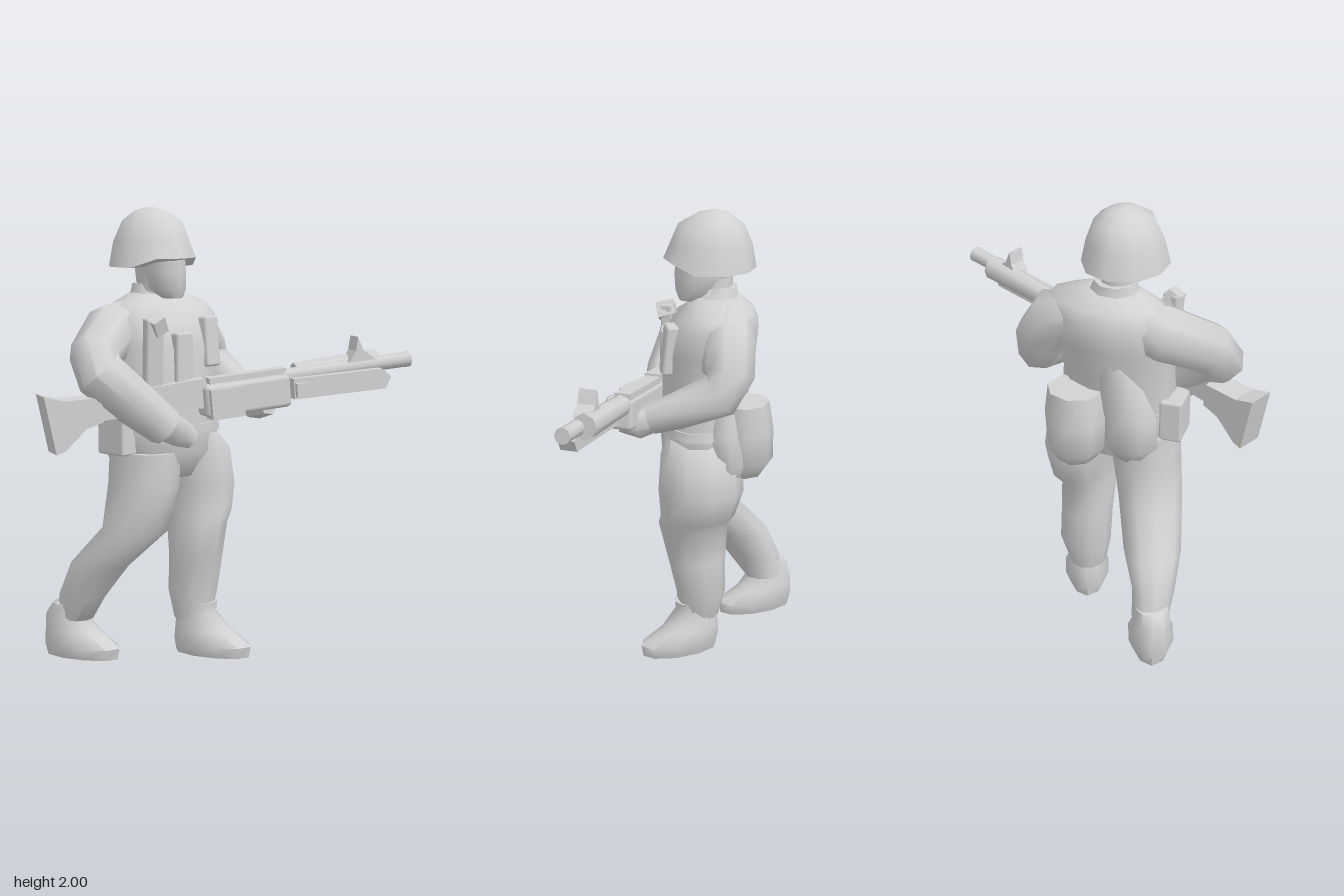
import * as THREE from 'three';
import { toCreasedNormals } from 'three/addons/utils/BufferGeometryUtils.js';
import { RoundedBoxGeometry } from 'three/addons/geometries/RoundedBoxGeometry.js';

const grey = new THREE.MeshStandardMaterial({ color: 0xd2d2d2 });
grey.name = 'plain grey';

function add(parent, name, geometry, pos = [0, 0, 0], rot = [0, 0, 0]) {
  const mesh = new THREE.Mesh(geometry, grey);
  mesh.name = name;
  mesh.position.set(...pos);
  mesh.rotation.set(...rot);
  parent.add(mesh);
  return mesh;
}

// Skin a list of closed rings of points and cap both ends
function skin(rings, crease = 1.1) {
  const n = rings[0].length, pos = [], index = [];
  rings.forEach((r) => r.forEach((p) => pos.push(p.x, p.y, p.z)));
  for (let i = 0; i < rings.length - 1; i++) {
    for (let j = 0; j < n; j++) {
      const a = i * n + j, b = i * n + (j + 1) % n;
      index.push(a, b, b + n, a, b + n, a + n);
    }
  }
  [0, rings.length - 1].forEach((i) => {
    const c = new THREE.Vector3();
    rings[i].forEach((p) => c.addScaledVector(p, 1 / n));
    const k = pos.length / 3;
    pos.push(c.x, c.y, c.z);
    for (let j = 0; j < n; j++) {
      const a = i * n + j, b = i * n + (j + 1) % n;
      index.push(...(i === 0 ? [k, b, a] : [k, a, b]));
    }
  });
  const g = new THREE.BufferGeometry();
  g.setAttribute('position', new THREE.Float32BufferAttribute(pos, 3));
  g.setIndex(index);
  return toCreasedNormals(g, crease);
}

function ring(c, u, v, ru, rv, n) {
  return Array.from({ length: n }, (_, j) => {
    const a = ((j + 0.5) / n) * Math.PI * 2;
    return c.clone().addScaledVector(u, Math.cos(a) * ru).addScaledVector(v, Math.sin(a) * rv);
  });
}

// Level cross-sections, bottom to top: [x, y, z, half width, half depth]
function stack(sections, yaw = 0, n = 10) {
  const u = new THREE.Vector3(Math.cos(yaw), 0, -Math.sin(yaw));
  const v = new THREE.Vector3(-Math.sin(yaw), 0, -Math.cos(yaw));
  return skin(sections.map(([x, y, z, rx, rz]) => ring(new THREE.Vector3(x, y, z), u, v, rx, rz, n)));
}

// Cross-sections square to a bent path: [x, y, z, radius]
function limb(points, n = 8) {
  const p = points.map((q) => new THREE.Vector3(q[0], q[1], q[2]));
  let u = new THREE.Vector3(0, 0.3, 1);
  return skin(p.map((c, i) => {
    const t = p[Math.min(i + 1, p.length - 1)].clone().sub(p[Math.max(i - 1, 0)]).normalize();
    u = u.clone().addScaledVector(t, -u.dot(t)).normalize();
    return ring(c, u, t.clone().cross(u), points[i][3], points[i][3], n);
  }));
}

// Side outline extruded across the rifle, centred on w
function plate(outline, width, w = 0) {
  const shape = new THREE.Shape(outline.map((p) => new THREE.Vector2(...p)));
  return new THREE.ExtrudeGeometry(shape, { depth: width, bevelEnabled: false }).translate(0, 0, w - width / 2);
}

function makeHead() {
  const g = new THREE.Group();
  g.name = 'head';
  add(g, 'neck', stack([[-0.15, 1.52, -0.13, 0.09, 0.09], [-0.16, 1.6, -0.12, 0.075, 0.08], [-0.17, 1.75, -0.11, 0.085, 0.1]]));
  add(g, 'face', stack([[-0.15, 1.61, -0.02, 0.045, 0.05], [-0.155, 1.65, -0.05, 0.078, 0.095],
    [-0.16, 1.72, -0.075, 0.09, 0.125], [-0.17, 1.84, -0.09, 0.1, 0.13]]));
  // Helmet: the brim is raised at the front
  const helmet = stack([[-0.19, 1.745, -0.105, 0.185, 0.205], [-0.19, 1.85, -0.11, 0.162, 0.182],
    [-0.185, 1.94, -0.11, 0.125, 0.145], [-0.185, 1.985, -0.12, 0.065, 0.075], [-0.185, 2, -0.12, 0.015, 0.015]], 0, 10);
  const p = helmet.attributes.position;
  for (let i = 0; i < p.count; i++) {
    if (p.getY(i) < 1.76 && p.getZ(i) > 0) p.setY(i, 1.785);
  }
  add(g, 'helmet', toCreasedNormals(helmet, 1.1));
  add(g, 'collar', stack([[-0.15, 1.56, -0.13, 0.15, 0.13], [-0.155, 1.61, -0.135, 0.115, 0.105], [-0.16, 1.67, -0.145, 0.09, 0.085]], 0, 8));
  return g;
}

function makeBody() {
  const g = new THREE.Group();
  g.name = 'body';
  add(g, 'torso', stack([[-0.15, 0.83, -0.07, 0.17, 0.12], [-0.14, 0.94, -0.06, 0.26, 0.17], [-0.15, 1.05, -0.06, 0.26, 0.18],
    [-0.15, 1.2, -0.07, 0.25, 0.18], [-0.14, 1.4, -0.105, 0.27, 0.21], [-0.13, 1.52, -0.13, 0.29, 0.195],
    [-0.12, 1.58, -0.15, 0.25, 0.15], [-0.15, 1.63, -0.14, 0.11, 0.1]], 0, 12));
  add(g, 'belt', stack([[-0.145, 1.03, -0.06, 0.268, 0.188], [-0.15, 1.07, -0.06, 0.266, 0.188]], 0, 12));
  add(g, 'leftArm', limb([[-0.02, 1.52, -0.19, 0.1], [0.09, 1.48, -0.185, 0.12], [0.165, 1.36, -0.185, 0.115],
    [0.19, 1.28, -0.15, 0.1], [0.175, 1.2, 0.04, 0.08], [0.16, 1.16, 0.15, 0.068]]));
  add(g, 'rightArm', limb([[-0.24, 1.51, -0.17, 0.1], [-0.38, 1.47, -0.15, 0.125], [-0.56, 1.38, -0.04, 0.11],
    [-0.575, 1.31, 0.02, 0.11], [-0.44, 1.18, 0.085, 0.1], [-0.3, 1.07, 0.115, 0.085]]));
  add(g, 'leftHand', limb([[0.16, 1.17, 0.12, 0.06], [0.15, 1.14, 0.2, 0.07], [0.15, 1.15, 0.28, 0.05]], 6));
  add(g, 'rightHand', limb([[-0.32, 1.09, 0.115, 0.075], [-0.24, 1.05, 0.125, 0.07], [-0.17, 1.01, 0.13, 0.045]], 6));
  return g;
}

function makeLegs() {
  const g = new THREE.Group();
  g.name = 'legs';
  add(g, 'leftLeg', stack([[0.0, 0.16, -0.06, 0.08, 0.09], [0.01, 0.28, -0.07, 0.115, 0.11], [0.01, 0.45, -0.05, 0.115, 0.13],
    [0.005, 0.61, -0.035, 0.12, 0.155], [0.03, 0.66, -0.055, 0.14, 0.165], [0.03, 0.78, -0.07, 0.16, 0.19],
    [0.01, 0.94, -0.07, 0.16, 0.18], [-0.04, 1.03, -0.06, 0.12, 0.15]]));
  add(g, 'rightLeg', stack([[-0.43, 0.17, -0.37, 0.08, 0.09], [-0.425, 0.28, -0.32, 0.09, 0.12], [-0.385, 0.43, -0.24, 0.125, 0.14],
    [-0.31, 0.6, -0.085, 0.14, 0.155], [-0.28, 0.8, -0.06, 0.15, 0.17], [-0.27, 0.95, -0.06, 0.15, 0.17]]));
  // Boots, toes turned a little outward
  [['leftBoot', 0.01, -0.06], ['rightBoot', -0.455, -0.415]].forEach(([name, x, z]) => {
    add(g, name, stack([[x + 0.035, 0, z + 0.085, 0.085, 0.18], [x + 0.035, 0.05, z + 0.085, 0.105, 0.19],
      [x + 0.02, 0.11, z + 0.04, 0.09, 0.14], [x, 0.19, z + 0.015, 0.08, 0.095], [x + 0.01, 0.24, z + 0.03, 0.075, 0.08]], 0.42));
  });
  return g;
}

function makeGear() {
  const g = new THREE.Group();
  g.name = 'gear';
  add(g, 'buttPack', stack([[-0.03, 0.84, -0.25, 0.08, 0.09], [-0.03, 0.91, -0.27, 0.13, 0.12],
    [-0.025, 1.05, -0.26, 0.14, 0.13], [-0.02, 1.18, -0.26, 0.12, 0.11]], -0.28, 8));
  add(g, 'backCanteen', stack([[-0.26, 0.84, -0.16, 0.08, 0.06], [-0.26, 0.92, -0.18, 0.12, 0.1],
    [-0.25, 1.06, -0.18, 0.12, 0.1], [-0.22, 1.2, -0.2, 0.1, 0.08], [-0.19, 1.36, -0.24, 0.06, 0.05]], 0.3, 8));
  add(g, 'leftCanteen', stack([[0.05, 0.86, -0.19, 0.06, 0.06], [0.06, 0.91, -0.19, 0.075, 0.08],
    [0.05, 1.06, -0.18, 0.075, 0.08], [0.04, 1.16, -0.18, 0.06, 0.06]], 0.6, 8));
  // Pouches: [name, size, position, rotation]
  [['rightHipPouch', [0.1, 0.19, 0.16], [-0.41, 1.04, -0.07], [0, 0.1, 0]],
    ['rightChestPouch', [0.08, 0.32, 0.06], [-0.33, 1.38, 0.07], [0.1, -0.3, 0.05]],
    ['middleChestPouch', [0.09, 0.3, 0.05], [-0.185, 1.32, 0.09], [0, 0, 0]],
    ['leftChestPouch', [0.09, 0.22, 0.06], [-0.02, 1.42, 0.07], [-0.1, 0.2, 0]],
  ].forEach(([name, s, pos, rot]) => add(g, name, new RoundedBoxGeometry(...s, 1, 0.012), pos, rot));
  add(g, 'chestFlap', new THREE.BoxGeometry(0.06, 0.07, 0.08), [-0.33, 1.51, 0.09], [0.25, 0, 0.5]);
  return g;
}

function makeRifle() {
  // Local x runs along the barrel to the muzzle
  const g = new THREE.Group();
  g.name = 'rifle';
  g.position.set(0, 1.235, 0.19);
  g.rotation.set(0, -0.342, 0.09, 'YZX');
  const rod = (r0, r1, len) => new THREE.CylinderGeometry(r1, r0, len, 8).rotateZ(-Math.PI / 2);
  add(g, 'stock', plate([[-0.85, 0.07], [-0.82, -0.18], [-0.78, -0.17], [-0.68, -0.09], [-0.6, -0.07], [-0.6, 0.035], [-0.76, 0.04]], 0.12));
  add(g, 'rearReceiver', plate([[-0.64, 0.035], [-0.64, -0.07], [-0.3, -0.06], [-0.12, -0.08], [-0.12, 0.05], [-0.3, 0.045]], 0.075));
  add(g, 'grip', plate([[-0.3, -0.05], [-0.33, -0.18], [-0.26, -0.18], [-0.22, -0.05]], 0.05));
  add(g, 'receiver', new RoundedBoxGeometry(0.4, 0.14, 0.13, 1, 0.02), [0.06, -0.05, 0.01]);
  add(g, 'ammoBox', new THREE.BoxGeometry(0.15, 0.13, 0.08), [-0.05, -0.06, 0.06]);
  add(g, 'feedCover', new THREE.BoxGeometry(0.36, 0.03, 0.07), [0.08, 0.03, -0.01]);
  add(g, 'barrel', rod(0.034, 0.034, 0.62), [0.555, 0.005, 0]);
  add(g, 'muzzle', rod(0.032, 0.036, 0.08), [0.83, 0.005, 0]);
  add(g, 'handguard', rod(0.045, 0.055, 0.4), [0.52, 0.01, -0.03]);
  add(g, 'foldedBipod', plate([[0.27, 0], [0.27, -0.09], [0.71, -0.1], [0.74, -0.05], [0.7, -0.01]], 0.075, 0.04));
  add(g, 'bipodFoot', new THREE.BoxGeometry(0.05, 0.06, 0.08), [0.3, -0.05, 0.06]);
  add(g, 'frontSight', plate([[0.56, 0.03], [0.69, 0.03], [0.63, 0.08], [0.61, 0.14], [0.595, 0.08]], 0.08));
  return g;
}

export function createModel() {
  const model = new THREE.Group();
  model.name = 'soldier';
  model.add(makeHead(), makeBody(), makeLegs(), makeGear(), makeRifle());
  return model;
}
